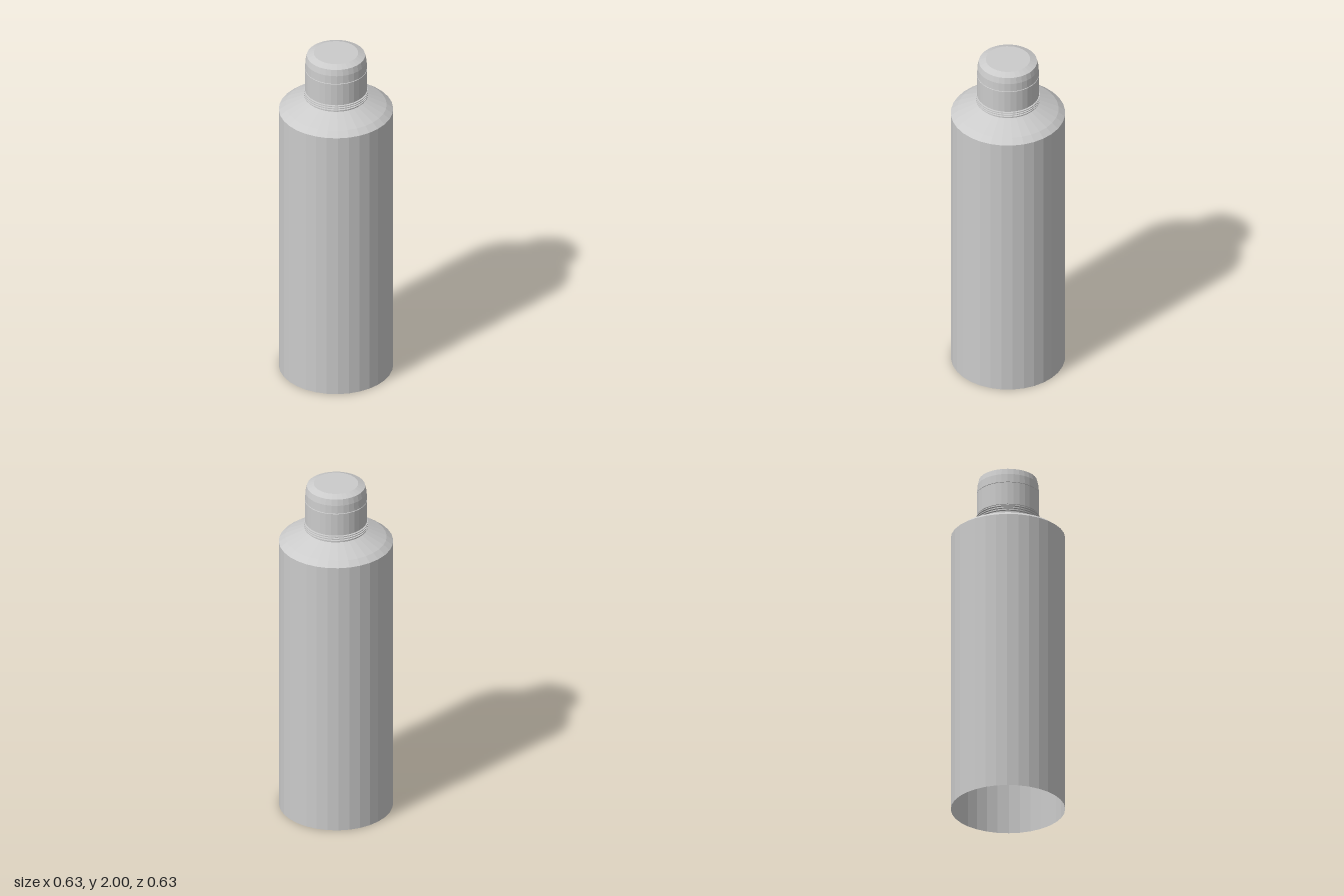
import * as THREE from 'three';

const SIDES = 32;

export function createModel() {
  const bottle = new THREE.Group();
  bottle.name = 'bottle';
  const material = new THREE.MeshStandardMaterial({
    color: 0xcccccc, flatShading: true, side: THREE.DoubleSide,
  });

  // Turned part from [radius, height] pairs, listed bottom to top
  function turned(name, profile) {
    const points = profile.map(([r, y]) => new THREE.Vector2(r, y));
    const mesh = new THREE.Mesh(new THREE.LatheGeometry(points, SIDES), material);
    mesh.name = name;
    bottle.add(mesh);
  }

  // Straight wall, open underneath
  turned('body', [[0.314, 0], [0.314, 1.64]]);

  // Two-step sloping shoulder
  turned('shoulder', [[0.314, 1.64], [0.278, 1.667], [0.165, 1.72]]);

  // Neck under the cap
  turned('neck', [[0.165, 1.72], [0.165, 1.77]]);

  // Thin rings around the neck
  for (let i = 0; i < 3; i++) {
    const y = 1.729 + i * 0.013;
    turned('neckRing', [[0.165, y], [0.175, y + 0.001], [0.175, y + 0.006], [0.165, y + 0.007]]);
  }

  // Lower cap
  turned('capBase', [[0.165, 1.768], [0.171, 1.768], [0.171, 1.899], [0.166, 1.9]]);

  // Lid with a tapered side and bevelled top
  turned('capLid', [[0.166, 1.9], [0.17, 1.902], [0.168, 1.95], [0.16, 1.985], [0.122, 2], [0, 2]]);

  return bottle;
}
